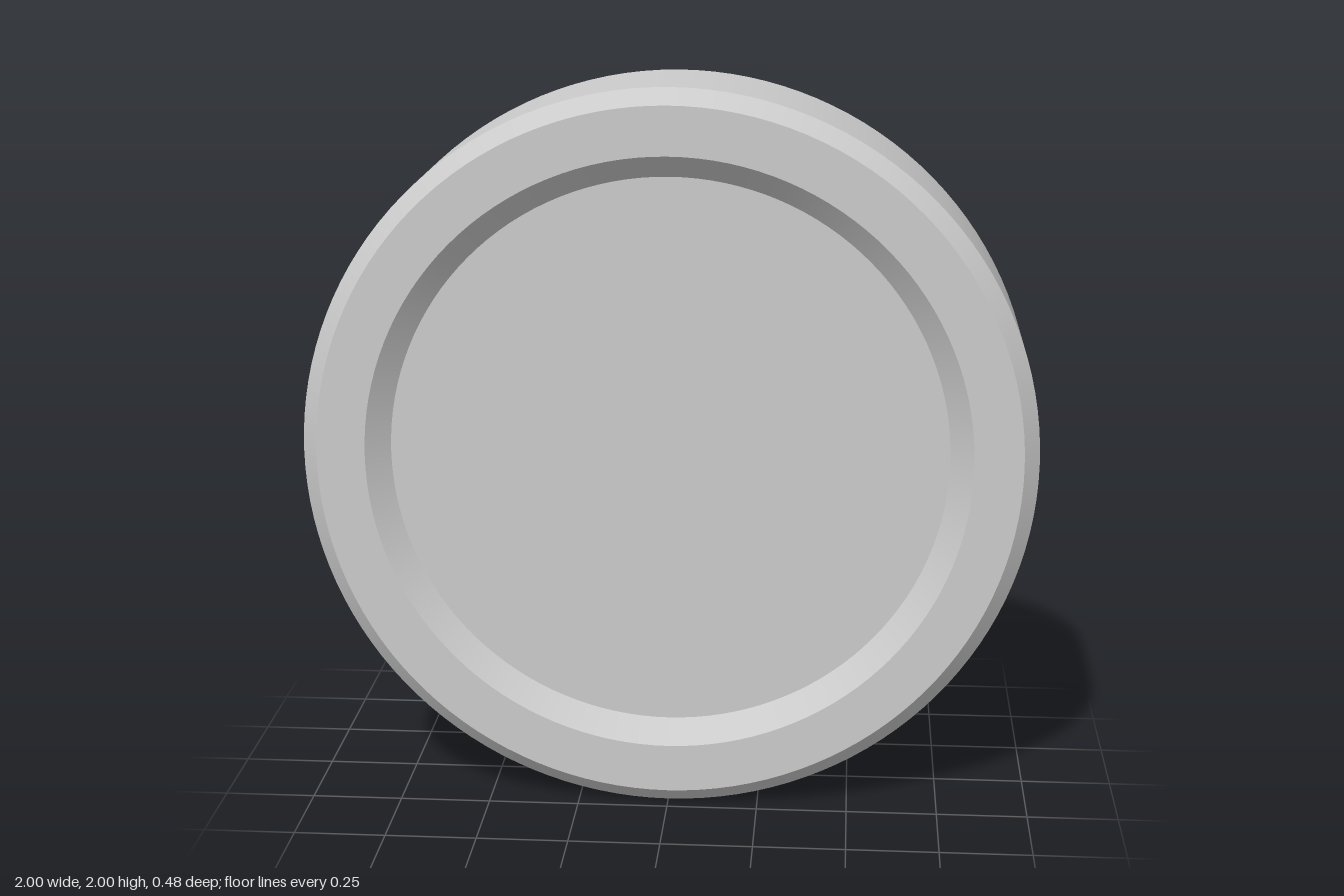
import * as THREE from 'three';

const SEGMENTS = 128;

export function createModel() {
  const model = new THREE.Group();
  model.name = 'disc';
  const material = new THREE.MeshStandardMaterial({ color: 0xcccccc });

  // Each band spans two [radius, z] points, so the edges between bands stay sharp
  const addBand = (name, from, to) => {
    const points = [from, to].map(([r, z]) => new THREE.Vector2(r, z));
    const geometry = new THREE.LatheGeometry(points, SEGMENTS);
    geometry.rotateX(Math.PI / 2);
    const mesh = new THREE.Mesh(geometry, material);
    mesh.name = name;
    mesh.position.y = 1;
    model.add(mesh);
  };

  // Half profile from the centre of the recessed face out to the outer wall
  const profile = [[0, 0.18], [0.762, 0.18], [0.824, 0.238], [0.957, 0.238], [1, 0.196]];
  const names = ['RecessedFace', 'RecessWall', 'Rim', 'Chamfer'];

  // Front and back are mirrored
  names.forEach((name, i) => {
    const [inner, outer] = [profile[i], profile[i + 1]];
    addBand('front' + name, outer, inner);
    addBand('back' + name, [inner[0], -inner[1]], [outer[0], -outer[1]]);
  });

  // Outer wall
  addBand('outerWall', [1, -0.196], [1, 0.196]);

  return model;
}
